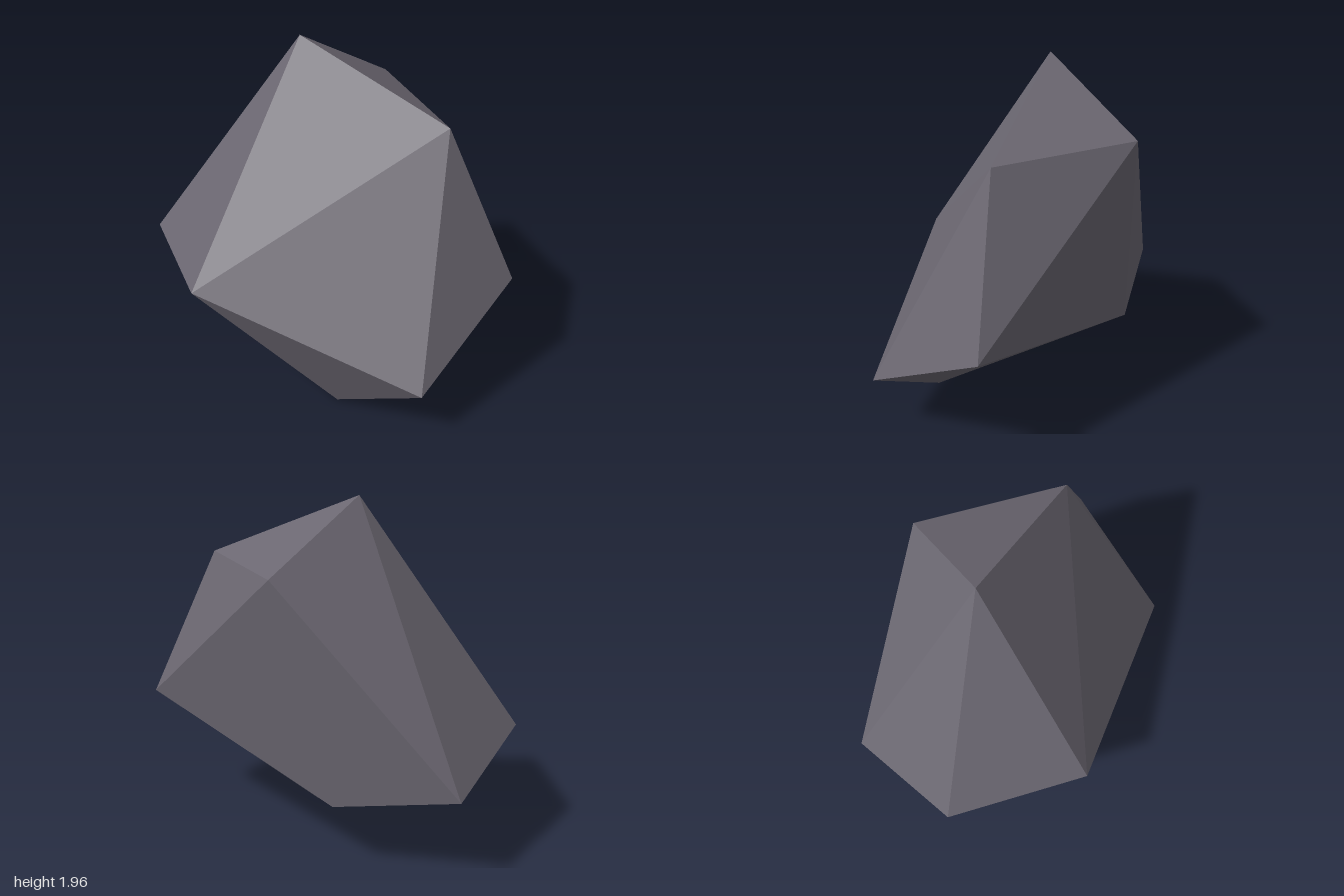
import * as THREE from 'three';
import { ConvexGeometry } from 'three/addons/geometries/ConvexGeometry.js';

export function createModel() {
  const group = new THREE.Group();
  group.name = 'rock';

  const stone = new THREE.MeshStandardMaterial({ color: 0x6b6771, flatShading: true });
  stone.name = 'stone grey';

  // Corners of the faceted boulder, from peak to foot
  const corners = [
    [-0.13, 1.96, -0.18], // peak
    [0.62, 1.6, 0.28], // shoulders
    [0.39, 1.6, -0.53],
    [1.0, 0.73, 0.42], // waist
    [-0.77, 0.73, 0.42],
    [-1.0, 0.69, -0.37],
    [-0.53, 0.5, -0.915],
    [0.08, 0.38, -0.61], // underside
    [0.43, 0.34, 0.915],
    [0.02, 0, 0.52], // foot
  ].map((p) => new THREE.Vector3(...p));

  // The solid is the convex shell around the corners
  const boulder = new THREE.Mesh(new ConvexGeometry(corners), stone);
  boulder.name = 'boulder';
  group.add(boulder);
  return group;
}
